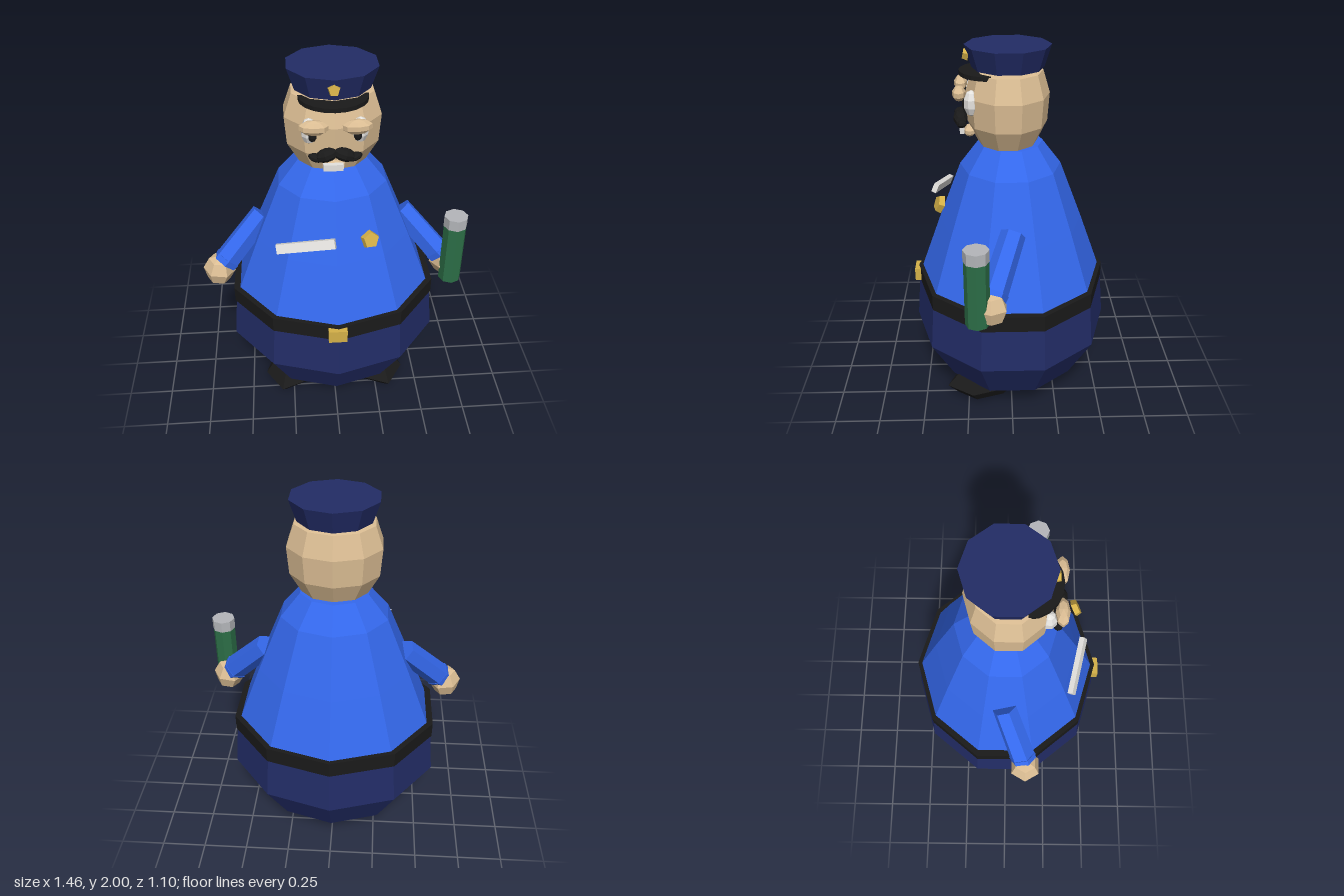
import * as THREE from 'three';

const COLORS = {
  shirt: 0x3468ec, navy: 0x222c66, skin: 0xdcbe94, black: 0x1a1a1a,
  gold: 0xd4b048, white: 0xe4e2de, green: 0x2c6e47, grey: 0xb4b6ba,
};
const mats = {};
for (const [key, color] of Object.entries(COLORS)) {
  mats[key] = new THREE.MeshStandardMaterial({ color, flatShading: true });
}

export function createModel() {
  const model = new THREE.Group();

  const add = (name, geometry, mat, pos = [0, 0, 0], rot = [0, 0, 0], scale = [1, 1, 1]) => {
    const mesh = new THREE.Mesh(geometry, mats[mat]);
    mesh.name = name;
    mesh.position.set(...pos);
    mesh.rotation.set(...rot);
    mesh.scale.set(...scale);
    model.add(mesh);
    return mesh;
  };
  // Ten-sided turned form from [radius, height] pairs, listed bottom to top
  const turned = (name, profile, mat, depth, z = 0) => add(
    name,
    new THREE.LatheGeometry(profile.map(([r, y]) => new THREE.Vector2(r, y)), 10),
    mat, [0, 0, z], [0, 0, 0], [1, 1, depth],
  );
  // Faceted ellipsoid
  const blob = (name, mat, pos, radii, rot, w = 8, h = 5) =>
    add(name, new THREE.SphereGeometry(1, w, h), mat, pos, rot, radii);
  // Flat five-sided badge facing +z
  const badge = (name, r, pos, rot) => {
    const geo = new THREE.CylinderGeometry(r * 0.85, r, 0.03, 5);
    geo.rotateY(Math.PI).rotateX(Math.PI / 2);
    return add(name, geo, 'gold', pos, rot);
  };

  // Torso
  turned('trousers', [[0, 0.145], [0.455, 0.145], [0.61, 0.4], [0.585, 0.66]], 'navy', 0.905);
  turned('belt', [[0.5, 0.64], [0.594, 0.64], [0.594, 0.73], [0.5, 0.73]], 'black', 0.895);
  turned('shirt', [[0.565, 0.7], [0.558, 0.73], [0.435, 1.04], [0.3, 1.36], [0.19, 1.49], [0, 1.5]],
    'shirt', 0.91);
  add('buckle', new THREE.BoxGeometry(0.1, 0.075, 0.035), 'gold', [-0.005, 0.685, 0.535]);

  // Head and cap
  turned('head', [[0, 1.475], [0.18, 1.485], [0.245, 1.6], [0.257, 1.75], [0.215, 1.87], [0, 1.9]],
    'skin', 0.86, 0.015);
  turned('cap', [[0, 1.885], [0.197, 1.885], [0.235, 2], [0, 2]], 'navy', 0.955, 0.012);
  add('capBrim', new THREE.CylinderGeometry(0.175, 0.175, 0.022, 10, 1, false, -Math.PI / 2, Math.PI),
    'black', [0, 1.862, 0.1], [0, 0, 0], [1, 1, 0.95]);
  badge('capBadge', 0.032, [-0.005, 1.948, 0.228], [-0.2, 0, 0]);

  // Face, mirrored left and right
  for (const s of [1, -1]) {
    blob('eye', 'white', [s * 0.125, 1.73, 0.2], [0.042, 0.068, 0.042], [0, s * 0.4, 0]);
    blob('pupil', 'black', [s * 0.112, 1.72, 0.233], [0.024, 0.034, 0.015], [0, s * 0.4, 0]);
    blob('eyebrow', 'skin', [s * 0.105, 1.776, 0.262], [0.075, 0.038, 0.036], [0, 0, s * 0.04]);
    blob('moustacheInner', 'black', [s * 0.045, 1.627, 0.262], [0.06, 0.034, 0.038], [0, s * 0.15, s * -0.35]);
    blob('moustacheTip', 'black', [s * 0.094, 1.61, 0.254], [0.042, 0.021, 0.026], [0, s * 0.2, s * 0.25]);
  }
  add('teeth', new THREE.BoxGeometry(0.1, 0.034, 0.025), 'white', [-0.01, 1.555, 0.255]);
  blob('lowerLip', 'skin', [-0.005, 1.545, 0.215], [0.06, 0.03, 0.035]);

  // Chest decoration
  add('namePlate', new THREE.BoxGeometry(0.31, 0.05, 0.028), 'white',
    [-0.16, 1.172, 0.385], [-0.38, -0.28, 0.12]);
  badge('chestBadge', 0.05, [0.17, 1.195, 0.382], [-0.38, 0.28, 0]);

  // Arms, hands and shoes, mirrored
  const up = new THREE.Vector3(0, 1, 0);
  for (const s of [1, -1]) {
    const shoulder = new THREE.Vector3(s * 0.385, 1.12, -0.005);
    const wrist = new THREE.Vector3(s * 0.6, 0.885, 0.1);
    const axis = shoulder.clone().sub(wrist);
    const mid = shoulder.clone().add(wrist).multiplyScalar(0.5);
    const sleeve = add('sleeve', new THREE.CylinderGeometry(0.066, 0.072, axis.length(), 6),
      'shirt', mid.toArray());
    sleeve.quaternion.setFromUnitVectors(up, axis.normalize());
    const cuff = add('cuff', new THREE.CylinderGeometry(0.076, 0.07, 0.035, 6), 'shirt', wrist.toArray());
    cuff.quaternion.copy(sleeve.quaternion);

    blob('hand', 'skin', [s * 0.64, 0.838, 0.112], [0.09, 0.092, 0.088], [0, 0, s * 0.15], 6, 4);
    blob('shoe', 'black', [s * 0.252, 0.095, 0.155], [0.155, 0.095, 0.225], [0, s * 0.3 + Math.PI / 6, 0], 6, 4)
      .geometry.rotateY(-Math.PI / 6);
    model.children[model.children.length - 1].rotation.y = s * 0.3;
  }

  // Baton held in the left hand
  add('baton', new THREE.CylinderGeometry(0.063, 0.063, 0.36, 8), 'green', [0.66, 0.94, 0.18]);
  add('batonCap', new THREE.CylinderGeometry(0.065, 0.065, 0.062, 8), 'grey', [0.66, 1.148, 0.18]);

  return model;
}
